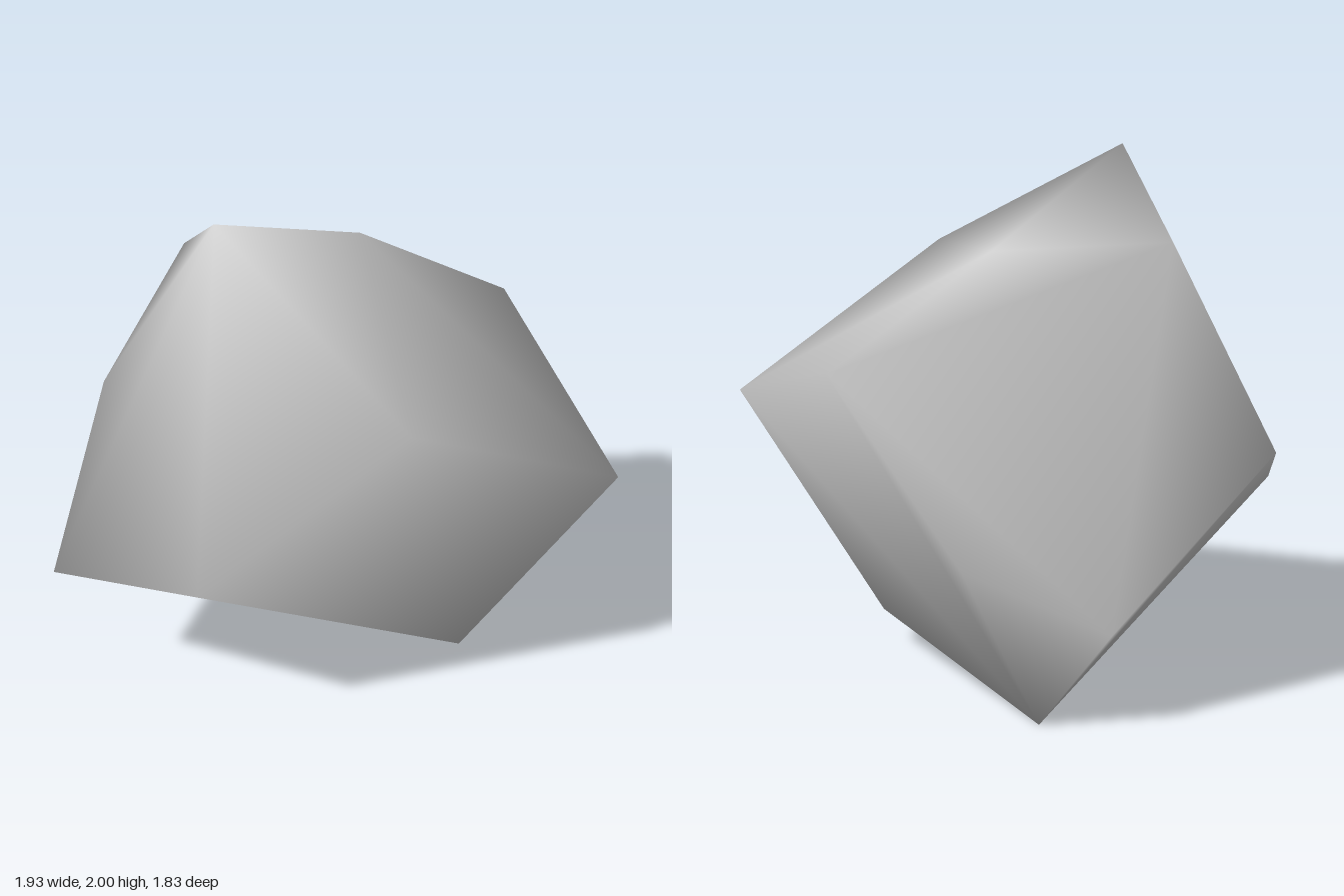
import * as THREE from 'three';
import { mergeVertices } from 'three/addons/utils/BufferGeometryUtils.js';
import { ConvexGeometry } from 'three/addons/geometries/ConvexGeometry.js';

// Corner points of the boulder
const CORNERS = [
  [-0.33, 2.0, -0.17],  // peak
  [-0.18, 1.69, -0.56], // upper back
  [0.38, 1.68, -0.21],  // upper side
  [-0.22, 1.55, 0.74],  // upper front
  [0.96, 1.3, 0.0],     // side point
  [0.67, 1.04, 0.91],   // front point
  [-0.35, 0.95, -0.92], // back point
  [-0.77, 0.82, 0.24],  // opposite side, front
  [-0.97, 0.63, -0.4],  // opposite side, back
  [0.7, 0.62, -0.39],   // lower side
  [0.3, 0.37, -0.73],   // lower back
  [0.3, 0.15, 0.51],    // base front
  [0.42, 0.0, -0.49],   // base
];

export function createModel() {
  const group = new THREE.Group();
  group.name = 'rock';

  const stone = new THREE.MeshStandardMaterial({ color: 0xcccccc });
  stone.name = 'stone grey';

  // Angular boulder: a convex skin with shared corners for smooth shading
  const hull = new ConvexGeometry(CORNERS.map((p) => new THREE.Vector3(...p)));
  hull.deleteAttribute('normal');
  const geometry = mergeVertices(hull, 1e-4);
  geometry.computeVertexNormals();

  const boulder = new THREE.Mesh(geometry, stone);
  boulder.name = 'boulder';
  group.add(boulder);
  return group;
}
